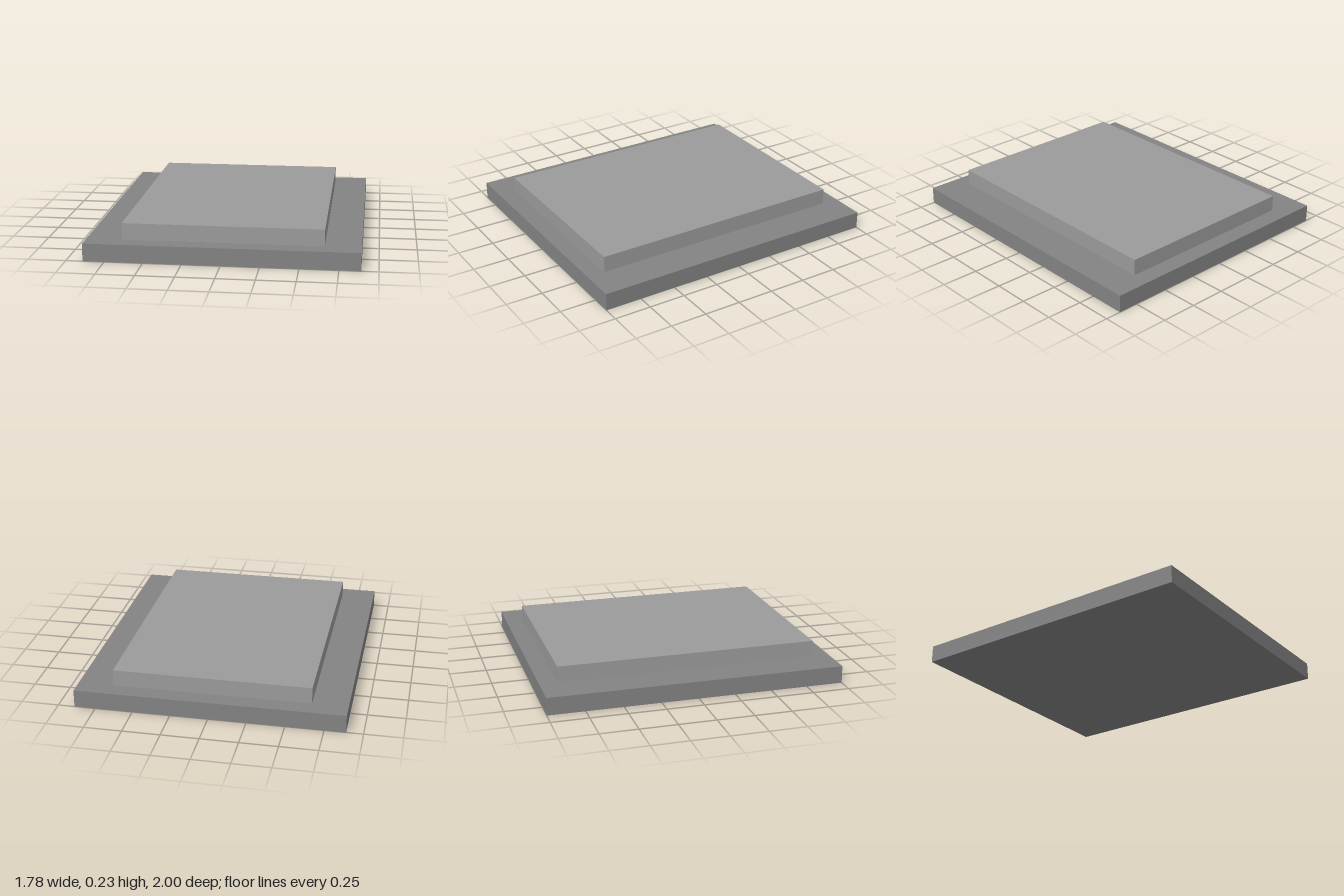
import * as THREE from 'three';

export function createModel() {
  const group = new THREE.Group();

  // Adds a box standing on the given height
  function addSlab(name, color, width, height, depth, bottom) {
    const material = new THREE.MeshStandardMaterial({ color });
    const slab = new THREE.Mesh(new THREE.BoxGeometry(width, height, depth), material);
    slab.name = name;
    slab.position.y = bottom + height / 2;
    group.add(slab);
  }

  // Wide dark base with a smaller, lighter raised plate on top
  addSlab('basePlate', 0x838383, 1.78, 0.118, 2, 0);
  addSlab('raisedPlate', 0x9b9b9b, 1.31, 0.11, 1.76, 0.118);

  return group;
}
